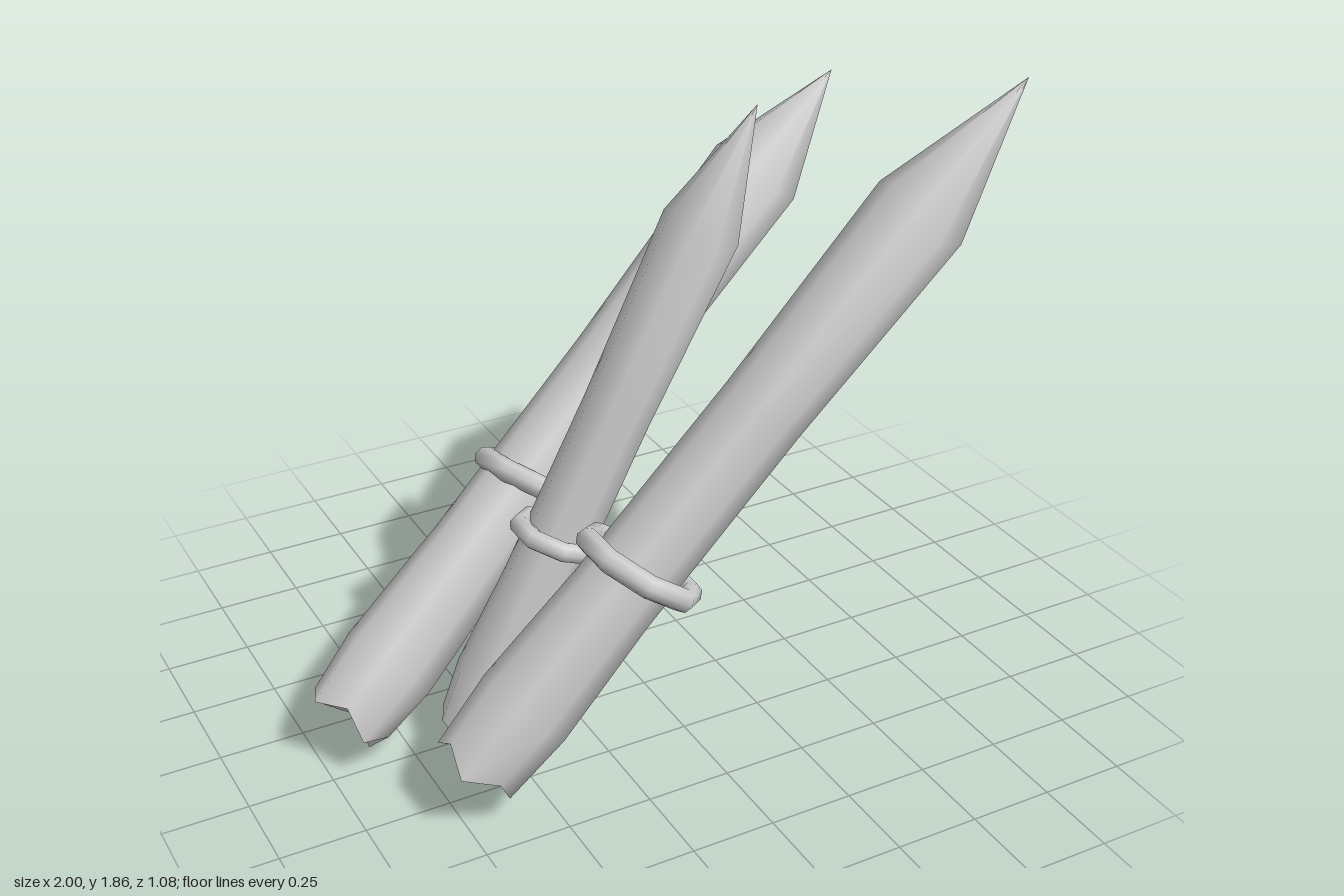
import * as THREE from 'three';

const SIDES = 8;
const material = new THREE.MeshStandardMaterial({ color: 0xcccccc, side: THREE.DoubleSide });

// Rotation whose local z runs along the axis and local y stays near world z
function alongAxis(axis) {
  const n = axis.clone().normalize();
  const v = new THREE.Vector3(0, 0, 1).addScaledVector(n, -n.z).normalize();
  const u = new THREE.Vector3().crossVectors(v, n);
  return new THREE.Quaternion().setFromRotationMatrix(new THREE.Matrix4().makeBasis(u, v, n));
}

function toGeometry(positions, index) {
  const g = new THREE.BufferGeometry();
  g.setAttribute('position', new THREE.Float32BufferAttribute(positions, 3));
  g.setIndex(index);
  return g;
}

// Shaft from cross-sections: ragged butt, slim waist, sharpened tip
function shaftGeometry(body, length, radius, jag) {
  const sections = [
    [0, 0.95], [0.1 * body, 1.08], [0.3 * body, 0.96],
    [0.65 * body, 0.94], [body, 1.06], [length, 0.002],
  ];
  const pos = [], idx = [];
  sections.forEach(([z, scale], s) => {
    for (let i = 0; i < SIDES; i++) {
      const a = (i / SIDES) * Math.PI * 2;
      const shift = s === 0 ? jag[i] : s === 4 ? 0.03 * Math.cos(a * 2 + 0.6) : 0;
      pos.push(Math.cos(a) * radius * scale, Math.sin(a) * radius * scale, z + shift);
      if (s === 0) continue;
      const j = (i + 1) % SIDES, lo = (s - 1) * SIDES, hi = s * SIDES;
      idx.push(lo + i, lo + j, hi + j, lo + i, hi + j, hi + i);
    }
  });
  const g = toGeometry(pos, idx);
  g.computeVertexNormals();
  return g;
}

// Hollowed, splintered end face sharing the ragged rim
function buttGeometry(shaft, radius) {
  const rim = Array.from(shaft.attributes.position.array.slice(0, SIDES * 3));
  const idx = [];
  for (let i = 0; i < SIDES; i++) idx.push(SIDES, (i + 1) % SIDES, i);
  const g = toGeometry([...rim, 0, 0, radius * 0.3], idx).toNonIndexed();
  g.computeVertexNormals();
  return g;
}

function addMesh(parent, geometry, name) {
  const mesh = new THREE.Mesh(geometry, material);
  mesh.name = name;
  parent.add(mesh);
  return mesh;
}

const stakes = [
  {
    name: 'frontStake', base: [-0.68, 0.17, 0.325], shoulder: [0.67, 1.5, 0.345], tip: [0.99, 1.86, 0.34],
    radius: 0.132, jag: [0, -0.05, 0.0, -0.03, 0.02, -0.03, 0.02, -0.04],
    ring: [-0.2, 0.665, 0.345], ringAxis: [0.58, 0.81, 0], ringRadius: 0.165, cord: 0.034,
  },
  {
    name: 'middleStake', base: [-0.59, 0.08, 0.05], shoulder: [0.14, 1.47, 0.065], tip: [0.31, 1.81, 0.06],
    radius: 0.107, jag: [0, -0.02, 0.02, -0.02, -0.04, 0.01, -0.02, 0.02],
    ring: [-0.3, 0.64, 0.06], ringAxis: [0.37, 0.93, 0], ringRadius: 0.12, cord: 0.029,
  },
  {
    name: 'backStake', base: [-0.92, 0.13, -0.08], shoulder: [0.6, 1.37, -0.415], tip: [0.9, 1.65, -0.48],
    radius: 0.134, jag: [-0.01, 0.03, -0.02, 0.03, -0.03, 0.02, -0.01, 0.02],
    ring: [-0.24, 0.66, -0.225], ringAxis: [0.56, 0.81, -0.15], ringRadius: 0.162, cord: 0.033,
  },
];

export function createModel() {
  const model = new THREE.Group();
  model.name = 'stakeBundle';
  for (const s of stakes) {
    const base = new THREE.Vector3(...s.base);
    const tip = new THREE.Vector3(...s.tip);
    const body = base.distanceTo(new THREE.Vector3(...s.shoulder));

    // Sharpened wooden stake
    const stake = new THREE.Group();
    stake.name = s.name;
    stake.position.copy(base);
    stake.quaternion.copy(alongAxis(tip.clone().sub(base)));
    const shaft = shaftGeometry(body, base.distanceTo(tip), s.radius, s.jag);
    addMesh(stake, shaft, 'shaft');
    addMesh(stake, buttGeometry(shaft, s.radius), 'splinteredEnd');
    model.add(stake);

    // Eight-sided cord ring around the stake
    const torus = new THREE.TorusGeometry(s.ringRadius, s.cord, 8, 8).rotateZ(Math.PI / 8);
    const ring = addMesh(model, torus, s.name + 'Ring');
    ring.position.set(...s.ring);
    ring.quaternion.copy(alongAxis(new THREE.Vector3(...s.ringAxis)));
  }
  return model;
}
